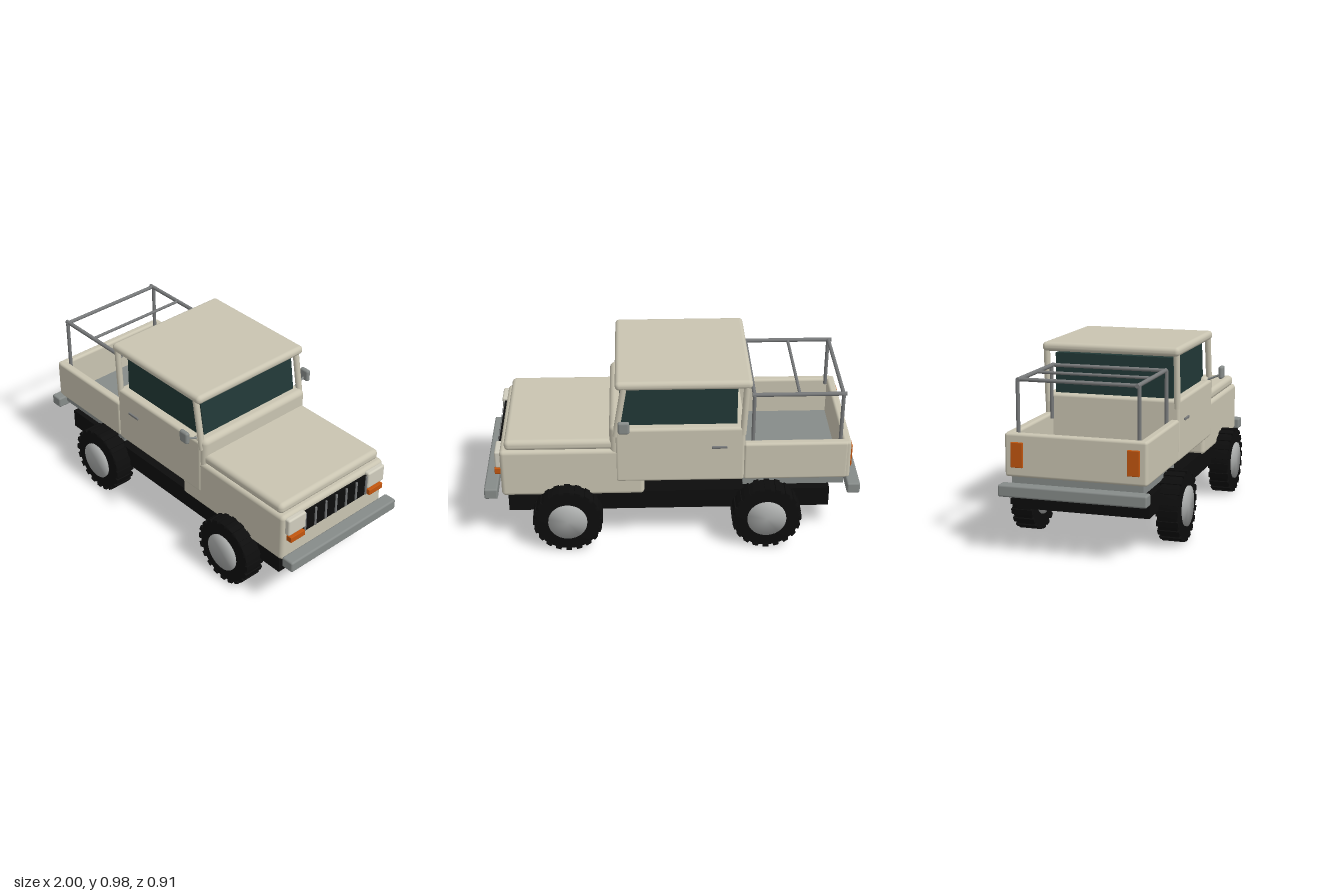
import * as THREE from 'three';
import { mergeVertices } from 'three/addons/utils/BufferGeometryUtils.js';
import { RoundedBoxGeometry } from 'three/addons/geometries/RoundedBoxGeometry.js';

function material(name, color, side = THREE.FrontSide) {
  const m = new THREE.MeshStandardMaterial({ color, side });
  m.name = name;
  return m;
}

export function createModel() {
  const truck = new THREE.Group();
  truck.name = 'pickupTruck';

  const paint = material('creamPaint', 0xc9c4b1);
  const metal = material('greyMetal', 0x868b89);
  const rackMetal = material('rackSteel', 0x77797a);
  const hubMetal = material('hubSilver', 0xa9abaa);
  const lamp = material('lampCream', 0xcfccbd);
  const black = material('black', 0x0d0d0d);
  const glass = material('darkGlass', 0x213836);
  const orange = material('orangeLens', 0xc2560f);

  function add(name, geometry, mat, parent = truck) {
    const mesh = new THREE.Mesh(geometry, mat);
    mesh.name = name;
    parent.add(mesh);
    return mesh;
  }

  // Box given by its limits on each axis; r rounds the edges
  function box(name, [x0, x1], [y0, y1], [z0, z1], mat, r = 0) {
    const s = [x1 - x0, y1 - y0, z1 - z0];
    const g = r ? new RoundedBoxGeometry(...s, 4, r) : new THREE.BoxGeometry(...s);
    const mesh = add(name, g, mat);
    mesh.position.set((x0 + x1) / 2, (y0 + y1) / 2, (z0 + z1) / 2);
    return mesh;
  }

  // Round bar between two points
  function bar(name, a, b, radius, mat) {
    const p = new THREE.Vector3(...a), q = new THREE.Vector3(...b);
    const d = q.clone().sub(p);
    const mesh = add(name, new THREE.CylinderGeometry(radius, radius, d.length(), 10), mat);
    mesh.position.copy(p).add(q).multiplyScalar(0.5);
    mesh.quaternion.setFromUnitVectors(new THREE.Vector3(0, 1, 0), d.normalize());
    return mesh;
  }

  // Range on one side of the truck, s = 1 or -1
  const span = (s, a, b) => (s > 0 ? [a, b] : [-b, -a]);

  // Chassis and main body
  box('chassis', [-0.84, 0.875], [0.2, 0.31], [-0.347, 0.347], black);
  box('noseBody', [0.15, 0.908], [0.3, 0.578], [-0.364, 0.364], paint, 0.022);
  box('hood', [0.3, 0.882], [0.572, 0.632], [-0.353, 0.353], paint, 0.025);
  box('cabBody', [-0.38, 0.3], [0.382, 0.705], [-0.368, 0.368], paint, 0.016);
  box('cowl', [0.23, 0.33], [0.5, 0.724], [-0.362, 0.362], paint, 0.03);
  box('roof', [-0.41, 0.295], [0.932, 0.98], [-0.372, 0.372], paint, 0.022);

  // Glasshouse with a sloping windscreen
  const side = new THREE.Shape([
    new THREE.Vector2(-0.338, 0.69), new THREE.Vector2(0.282, 0.69),
    new THREE.Vector2(0.25, 0.917), new THREE.Vector2(-0.338, 0.917),
  ]);
  const windows = add('windows',
    new THREE.ExtrudeGeometry(side, { depth: 0.642, bevelEnabled: false }), glass);
  windows.position.z = -0.321;

  // Load bed
  box('bedFloor', [-0.912, -0.375], [0.337, 0.4], [-0.34, 0.34], metal);
  box('tailgate', [-0.94, -0.897], [0.385, 0.605], [-0.366, 0.366], paint, 0.014);

  // Load rack
  const rackX = [-0.887, -0.66, -0.425];
  rackX.forEach((x, i) =>
    bar('rackCrossBar', [x, 0.865, -0.31], [x, 0.865, 0.31], i === 1 ? 0.008 : 0.01, rackMetal));

  // Grille with upright bars
  box('grille', [0.9, 0.92], [0.428, 0.55], [-0.225, 0.225], black);
  box('grilleLowerStrip', [0.9, 0.916], [0.428, 0.468], [-0.27, 0.27], black);
  for (let i = -3; i <= 3; i++) {
    bar('grilleBar', [0.924, 0.435, i * 0.0737], [0.924, 0.545, i * 0.0737], 0.006, rackMetal);
  }

  // Bumpers
  box('frontBumper', [0.928, 1], [0.295, 0.356], [-0.382, 0.382], metal, 0.01);
  box('rearBumper', [-1, -0.93], [0.295, 0.356], [-0.382, 0.382], metal, 0.01);
  for (const s of [1, -1]) {
    // Pillars and bed side
    bar('frontPillar', [0.298, 0.66, s * 0.353], [0.25, 0.95, s * 0.353], 0.017, paint);
    bar('rearPillar', [-0.368, 0.66, s * 0.353], [-0.382, 0.95, s * 0.353], 0.017, paint);
    box('bedSide', [-0.925, -0.375], [0.385, 0.605], span(s, 0.32, 0.368), paint, 0.014);

    // Rack side
    bar('rackSideRail', [-0.905, 0.865, s * 0.305], [-0.415, 0.865, s * 0.305], 0.011, rackMetal);
    for (const x of [rackX[0], rackX[2]]) {
      bar('rackPost', [x, 0.58, s * 0.312], [x, 0.865, s * 0.312], 0.01, rackMetal);
    }

    // Lamps
    box('headlight', [0.9, 0.935], [0.468, 0.566], span(s, 0.225, 0.346), lamp, 0.01);
    box('indicator', [0.9, 0.94], [0.424, 0.457], span(s, 0.235, 0.334), orange, 0.003);
    box('tailLight', [-0.952, -0.93], [0.435, 0.562], span(s, 0.268, 0.33), orange, 0.003);

    // Door handle and mirror
    box('doorHandle', [-0.285, -0.205], [0.584, 0.597], span(s, 0.36, 0.376), rackMetal, 0.003);
    bar('mirrorArm', [0.255, 0.71, s * 0.355], [0.252, 0.742, s * 0.43], 0.006, metal);
    box('mirror', [0.224, 0.284], [0.72, 0.79], span(s, 0.42, 0.446), metal, 0.012);
  }

  // Wheels: soft-shaded tyre, tread lugs and hub
  function softCylinder(profile, segments) {
    const g = new THREE.LatheGeometry(profile.map(p => new THREE.Vector2(...p)), segments);
    g.deleteAttribute('uv');
    g.deleteAttribute('normal');
    const merged = mergeVertices(g);
    merged.computeVertexNormals();
    return merged.rotateX(Math.PI / 2);
  }
  const tyreGeo = softCylinder(
    [[0, -0.055], [0.168, -0.055], [0.18, -0.045], [0.18, 0.045], [0.168, 0.055], [0, 0.055]], 32);
  const hubGeo = softCylinder([[0, -0.06], [0.104, -0.06], [0.104, 0.065], [0, 0.065]], 28);
  const lugGeo = new THREE.BoxGeometry(0.03, 0.016, 0.114);
  for (const x of [-0.5, 0.56]) {
    for (const s of [1, -1]) {
      const wheel = new THREE.Group();
      wheel.name = 'wheel';
      wheel.position.set(x, 0.187, s * 0.39);
      if (s < 0) wheel.rotation.y = Math.PI;
      add('tyre', tyreGeo, black, wheel);
      add('hub', hubGeo, hubMetal, wheel);
      for (let i = 0; i < 20; i++) {
        const a = (i / 20) * Math.PI * 2;
        const lug = add('treadLug', lugGeo, black, wheel);
        lug.position.set(Math.sin(a) * 0.177, Math.cos(a) * 0.177, 0);
        lug.rotation.z = -a;
      }
      truck.add(wheel);
    }
  }
  return truck;
}
